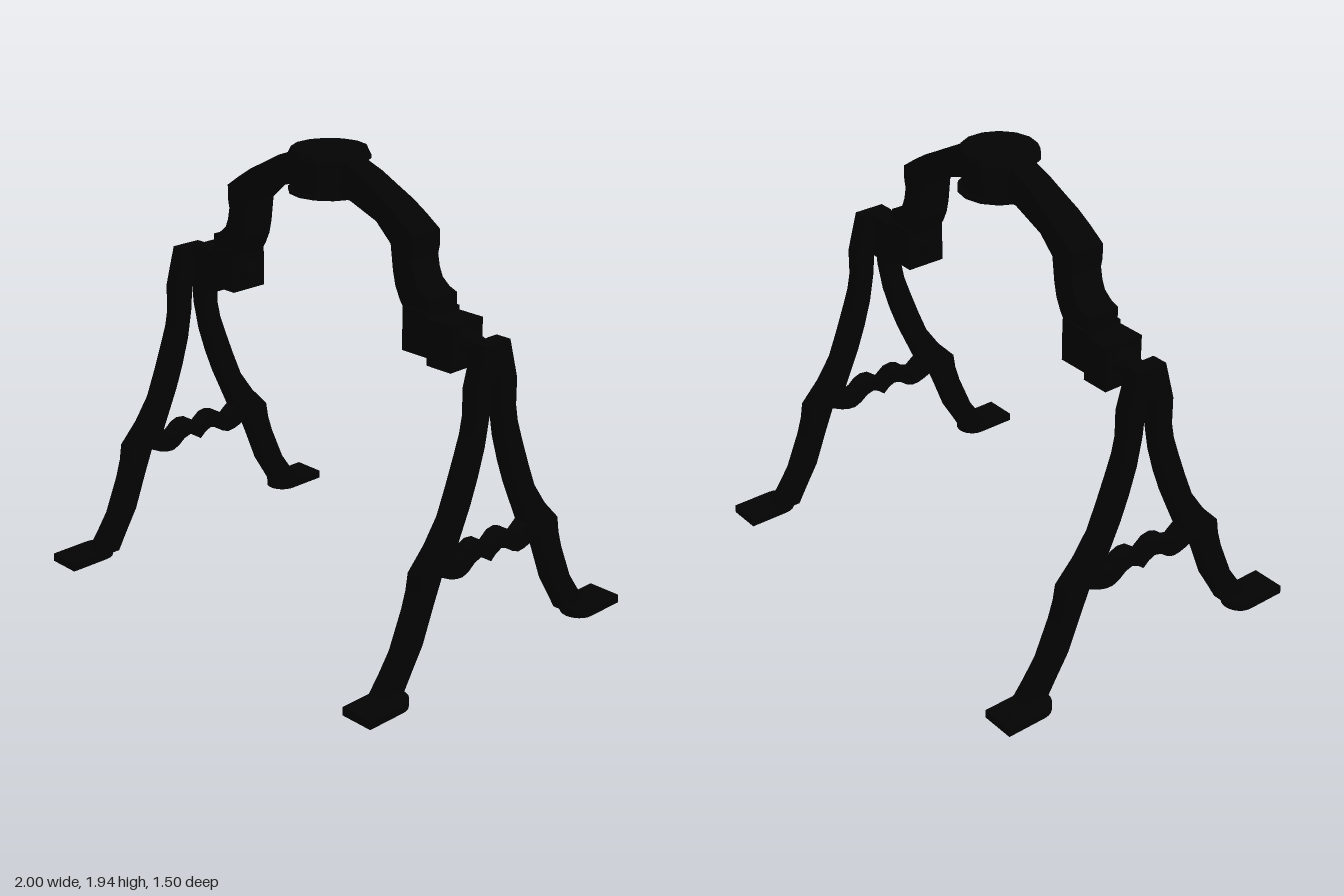
import * as THREE from 'three';

const material = new THREE.MeshStandardMaterial({ color: 0x030303, flatShading: true });

const add = (parent, name, geometry, x = 0, y = 0, z = 0) => {
  const mesh = new THREE.Mesh(geometry, material);
  mesh.name = name;
  mesh.position.set(x, y, z);
  parent.add(mesh);
  return mesh;
};

// Closes a half outline (running from one end of the axis to the other) by mirroring it
const mirrored = (half) => {
  const back = half.filter(([u]) => u > 0).reverse().map(([u, v]) => [-u, v]);
  return [...half, ...back].map(([u, v]) => new THREE.Vector2(u, v));
};

// Extrusion centred on its own depth
const plate = (shape, depth) =>
  new THREE.ExtrudeGeometry(shape, { depth, bevelEnabled: false, curveSegments: 6 }).translate(0, 0, -depth / 2);

// Cylinder lying along x; r0 is the inner end, r1 the outer end
const rod = (r0, r1, length, sides = 10) =>
  new THREE.CylinderGeometry(r1, r0, length, sides).rotateZ(-Math.PI / 2);

function makeArch() {
  const outline = mirrored([
    [0, 1.93], [0.16, 1.91], [0.24, 1.88], [0.32, 1.837], [0.4, 1.795], [0.47, 1.75], [0.543, 1.7],
    [0.543, 1.636], [0.535, 1.6], [0.545, 1.55], [0.562, 1.51], [0.6, 1.48], [0.64, 1.465],
    [0.64, 1.38], [0.51, 1.38], [0.475, 1.43], [0.45, 1.48], [0.435, 1.54], [0.42, 1.645],
    [0.334, 1.717], [0.18, 1.768], [0, 1.768],
  ]);
  const geometry = plate(new THREE.Shape(outline), 2);
  // the arms widen from the hub towards the ends
  const p = geometry.attributes.position;
  for (let i = 0; i < p.count; i++) {
    const half = 0.06 + 0.016 * THREE.MathUtils.smoothstep(Math.abs(p.getX(i)), 0.16, 0.5);
    p.setZ(i, p.getZ(i) * half);
  }
  geometry.computeVertexNormals();
  return geometry;
}

function makeLegFrame() {
  const outer = mirrored([
    [0, 1.345], [0.07, 1.345], [0.09, 1.275], [0.118, 1.175], [0.118, 1.06], [0.132, 0.99], [0.16, 0.91],
    [0.205, 0.79], [0.25, 0.68], [0.32, 0.58], [0.406, 0.49], [0.417, 0.42], [0.44, 0.345],
    [0.505, 0.19], [0.56, 0.11], [0.63, 0.02], [0.495, 0.02], [0.445, 0.105], [0.39, 0.195], [0.33, 0.35],
    [0.288, 0.452], [0.237, 0.427], [0.2, 0.416], [0.165, 0.413], [0.13, 0.427], [0.095, 0.453],
    [0.06, 0.463], [0.03, 0.45], [0, 0.425],
  ]);
  const opening = mirrored([
    [0, 1.21], [0.026, 1.19], [0.036, 1.06], [0.06, 0.93], [0.095, 0.815], [0.134, 0.71], [0.22, 0.52],
    [0.175, 0.487], [0.15, 0.495], [0.12, 0.52], [0.085, 0.532], [0.045, 0.527], [0, 0.493],
  ]);
  const shape = new THREE.Shape(outer);
  // the opening winds against the outline
  shape.holes.push(new THREE.Path(opening.reverse()));
  return plate(shape, 0.07).rotateY(Math.PI / 2);
}

function makeFootPlate() {
  // square toe, half-round heel
  const s = new THREE.Shape();
  s.moveTo(0.075, 0.75);
  s.lineTo(-0.075, 0.75);
  s.lineTo(-0.075, 0.57);
  s.absarc(0, 0.57, 0.075, Math.PI, Math.PI * 2, false);
  s.closePath();
  return plate(s, 0.036).rotateX(Math.PI / 2);
}

function makeSide() {
  const side = new THREE.Group();

  // joint between arch and leg frame
  add(side, 'innerJointBlock', new THREE.BoxGeometry(0.14, 0.18, 0.176), 0.573, 1.32);
  add(side, 'outerJointBlock', new THREE.BoxGeometry(0.127, 0.19, 0.18), 0.7015, 1.295);
  add(side, 'innerNut', rod(0.042, 0.042, 0.035, 8), 0.49, 1.313);
  add(side, 'innerWasher', rod(0.032, 0.032, 0.02), 0.468, 1.313);
  add(side, 'axle', rod(0.016, 0.016, 0.48), 0.69, 1.313);
  add(side, 'taperedCollar', rod(0.055, 0.032, 0.08), 0.805, 1.313);
  add(side, 'axleHead', rod(0.02, 0.02, 0.085, 8), 0.89, 1.316);

  add(side, 'legFrame', makeLegFrame(), 0.89);

  for (const turn of [0, Math.PI]) {
    const foot = new THREE.Group();
    foot.name = 'foot';
    foot.position.x = 0.925;
    foot.rotation.y = turn;
    add(foot, 'footPlate', makeFootPlate(), 0, 0.02);
    add(foot, 'footBolt', new THREE.CylinderGeometry(0.022, 0.034, 0.018, 10), turn ? -0.025 : 0.025, 0.043, 0.68);
    side.add(foot);
  }
  return side;
}

export function createModel() {
  const model = new THREE.Group();
  model.name = 'archStand';

  add(model, 'arch', makeArch());

  // round hub with chamfered cap and bottom flange
  const hub = [
    [0, 1.765], [0.17, 1.765], [0.17, 1.78], [0.153, 1.78], [0.153, 1.9],
    [0.17, 1.905], [0.169, 1.92], [0.157, 1.945], [0, 1.945],
  ].map(([r, y]) => new THREE.Vector2(r, y));
  add(model, 'hub', new THREE.LatheGeometry(hub, 14));

  // the two supports are the same part turned half round
  for (const [name, turn] of [['leftSupport', 0], ['rightSupport', Math.PI]]) {
    const side = makeSide();
    side.name = name;
    side.rotation.y = turn;
    model.add(side);
  }
  return model;
}
